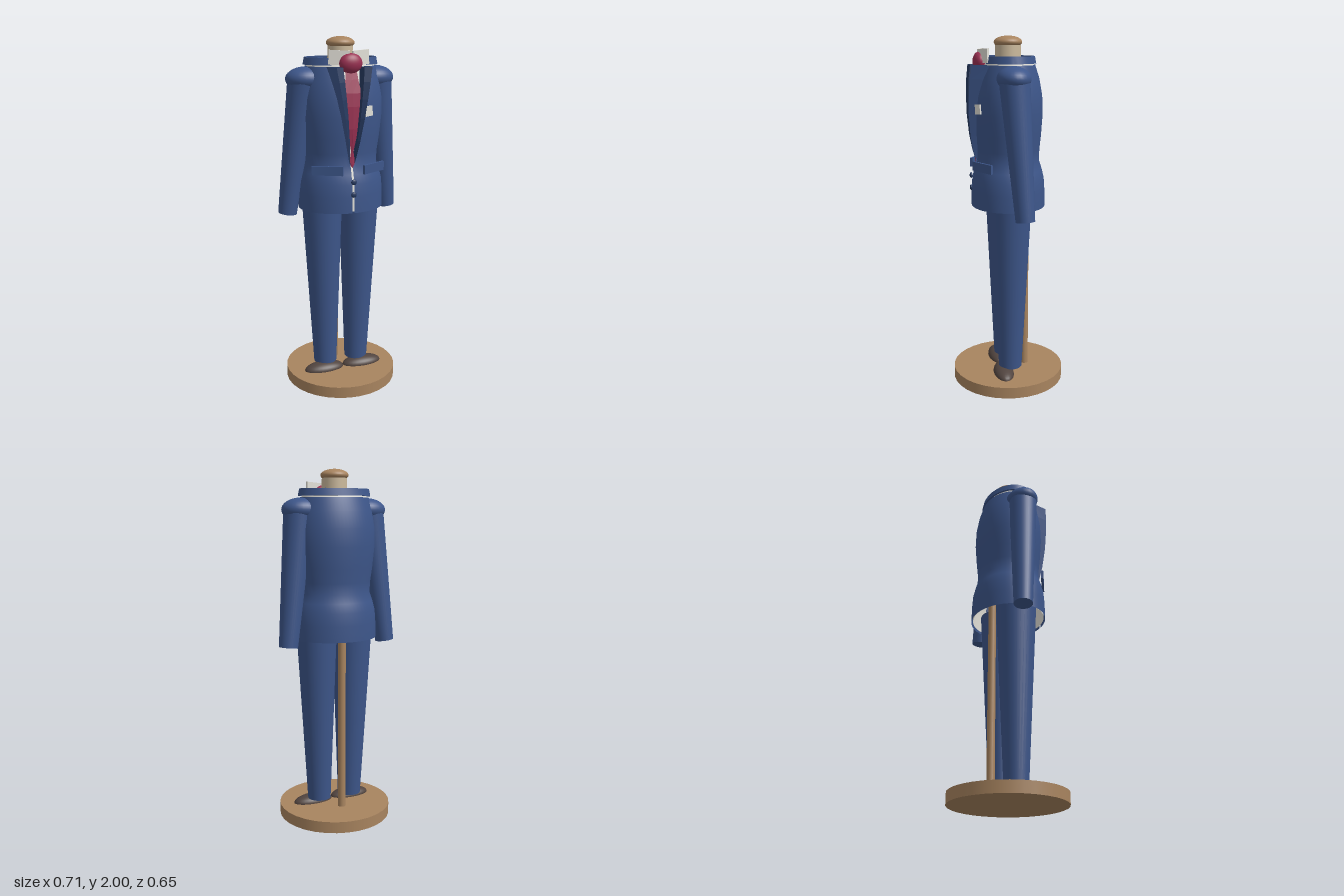
import * as THREE from 'three';
import { toCreasedNormals } from 'three/addons/utils/BufferGeometryUtils.js';

const mat = (name, color, side = THREE.FrontSide) => {
  const m = new THREE.MeshStandardMaterial({ color, side });
  m.name = name;
  return m;
};

export function createModel() {
  const group = new THREE.Group();
  group.name = 'suitOnStand';
  const navy = mat('navy cloth', 0x3d568a, THREE.DoubleSide);
  const dark = mat('dark navy', 0x263a60, THREE.DoubleSide);
  const white = mat('shirt white', 0xe2e0d8, THREE.DoubleSide);
  const crimson = mat('crimson silk', 0x9a3052, THREE.DoubleSide);
  const wood = mat('wood', 0xa8845f);
  const linen = mat('neck linen', 0xcbb99c);
  const leather = mat('shoe leather', 0x51443f);

  const add = (name, geo, material, x = 0, y = 0, z = 0) => {
    const m = new THREE.Mesh(geo, material);
    m.name = name;
    m.position.set(x, y, z);
    group.add(m);
    return m;
  };
  const ellipsoid = (rx, ry, rz) => new THREE.SphereGeometry(1, 28, 18).scale(rx, ry, rz);

  // Elliptical shell from rows [y, rx, rz, half width of the front gap]
  const shell = (rows, creased = false) => {
    const geo = new THREE.LatheGeometry(rows.map(r => new THREE.Vector2(r[1], r[0])), 56);
    const p = geo.attributes.position, n = rows.length;
    for (let i = 0; i < p.count; i++) {
      const [y, rx, rz, gap] = rows[i % n];
      const a = Math.asin(gap / rx);
      const phi = a + (Math.floor(i / n) / 56) * (Math.PI * 2 - 2 * a);
      p.setXYZ(i, rx * Math.sin(phi), y, rz * Math.cos(phi));
    }
    geo.computeVertexNormals();
    return creased ? toCreasedNormals(geo, 0.6) : geo;
  };

  // Faceted surface joining equal-length polylines
  const loft = sections => {
    const n = sections[0].length, idx = [];
    for (let s = 0; s < sections.length - 1; s++)
      for (let k = 0; k < n - 1; k++) {
        const a = s * n + k, b = a + n;
        idx.push(a, b, a + 1, b, b + 1, a + 1);
      }
    const geo = new THREE.BufferGeometry();
    geo.setAttribute('position', new THREE.Float32BufferAttribute(sections.flat(2), 3));
    geo.setIndex(idx);
    const flat = geo.toNonIndexed();
    flat.computeVertexNormals();
    return flat;
  };

  // Tapered tube between two points
  const limb = (name, a, b, ra, rb, open, material) => {
    const A = new THREE.Vector3(...a), B = new THREE.Vector3(...b);
    const d = A.clone().sub(B);
    const m = add(name, new THREE.CylinderGeometry(ra, rb, d.length(), 32, 1, open), material);
    m.position.copy(A).add(B).multiplyScalar(0.5);
    m.quaternion.setFromUnitVectors(new THREE.Vector3(0, 1, 0), d.normalize());
    return m;
  };

  // Stand
  add('base', new THREE.CylinderGeometry(0.325, 0.325, 0.065, 32), wood, 0, 0.0325, 0);
  add('pole', new THREE.CylinderGeometry(0.022, 0.022, 1.14, 20), wood, 0, 0.63, -0.1);
  add('neck', new THREE.CylinderGeometry(0.07, 0.072, 0.15, 32), linen, 0, 1.875, 0);
  add('neckCap', ellipsoid(0.078, 0.034, 0.078), wood, 0, 1.966, 0);

  // Jacket body: y, rx, rz, plus the front opening that widens into a V
  const body = [
    [1.06, 0.243, 0.208], [1.15, 0.242, 0.207], [1.22, 0.237, 0.202], [1.27, 0.223, 0.19],
    [1.32, 0.206, 0.174], [1.38, 0.21, 0.176], [1.46, 0.222, 0.184], [1.58, 0.235, 0.192],
    [1.68, 0.234, 0.188], [1.77, 0.22, 0.172], [1.845, 0.198, 0.148]
  ];
  const vee = y => Math.max(0, (y - 1.33) / 0.515);
  add('jacketBody', shell(body.map(([y, rx, rz]) => [y, rx, rz, 0.006 + 0.054 * vee(y)])), navy);
  add('shirt', shell([...body.map(([y, rx, rz]) => [y + 0.008, rx - 0.009, rz - 0.009, 0]),
    [1.872, 0.193, 0.139, 0]]), white);
  add('jacketCollar', shell([
    [1.853, 0.211, 0.153, 0.1], [1.892, 0.203, 0.145, 0.1],
    [1.892, 0.194, 0.137, 0.1], [1.853, 0.198, 0.141, 0.1], [1.853, 0.211, 0.153, 0.1]
  ], true), navy);

  // Lapels standing forward of the chest: y, front z, back z
  const lapelRows = [
    [1.845, 0.213, 0.125], [1.77, 0.222, 0.155], [1.68, 0.226, 0.172], [1.58, 0.226, 0.18],
    [1.46, 0.215, 0.178], [1.38, 0.2, 0.17], [1.33, 0.186, 0.168]
  ];
  const faces = lapelRows.map(([y, zf, zb]) => {
    const t = vee(y), xi = 0.006 + 0.05 * t, xo = 0.012 + 0.088 * t;
    return { front: [[xi, y, zb], [xi + 0.004, y, zf - 0.01], [xo, y, zf]],
      side: [[xo, y, zf], [xo + 0.022 * t, y, zb - 0.01]] };
  });
  const [f0, s0] = [faces[0].front, faces[0].side];

  for (const s of [1, -1]) {
    const side = s > 0 ? 'left' : 'right';
    add(side + 'LapelFace', loft(faces.map(f => f.front)), dark).scale.x = s;
    add(side + 'LapelSide', loft(faces.map(f => f.side)), navy).scale.x = s;
    add(side + 'LapelTop', loft([[f0[0], f0[1]], [s0[1], s0[0]]]), dark).scale.x = s;

    // Shoulders and sleeves
    add(side + 'Shoulder', ellipsoid(0.115, 0.066, 0.092), navy, s * 0.197, 1.778, 0);
    limb(side + 'Sleeve', [s * 0.217, 1.77, 0], [s * 0.303, 1.028, -0.046], 0.083, 0.053, false, navy);

    // Trousers and shoes
    limb(side + 'TrouserLeg', [s * 0.112, 1.13, 0], [s * 0.098, 0.1, 0.002], 0.116, 0.067, true, navy);
    add(side + 'Shoe', ellipsoid(0.12, 0.042, 0.058), leather, s * 0.12, 0.065, 0.045);

    // Hip pocket flap
    add(side + 'PocketFlap', new THREE.BoxGeometry(0.17, 0.05, 0.014), navy, s * 0.135, 1.298, 0.162)
      .rotation.y = s * 0.5;

    // Shirt collar wing
    add(side + 'CollarWing', new THREE.BoxGeometry(0.112, 0.076, 0.011), white, s * 0.061, 1.893, 0.144)
      .rotation.set(0, s * 0.35, s * 0.05);
  }

  // Tie blade: y, half width, z
  const tie = [
    [1.85, 0.03, 0.158], [1.78, 0.037, 0.175], [1.71, 0.05, 0.19], [1.64, 0.05, 0.196],
    [1.52, 0.031, 0.196], [1.4, 0.007, 0.186], [1.36, 0.013, 0.186], [1.33, 0.013, 0.188], [1.31, 0.001, 0.188]
  ];
  add('tieBlade', loft(tie.map(([y, w, z]) => [[-w, y, z - 0.003], [0, y, z], [w, y, z - 0.003]])), crimson);
  add('tieKnot', ellipsoid(0.064, 0.053, 0.038), crimson, 0, 1.864, 0.157);

  // Pocket square and buttons
  add('pocketSquare', new THREE.BoxGeometry(0.054, 0.054, 0.02), white, 0.093, 1.612, 0.174)
    .rotation.set(0, 0.4, 0.06);
  for (const y of [1.235, 1.165])
    add('button', ellipsoid(0.016, 0.016, 0.008), dark, 0, y, 0.211);

  return group;
}
